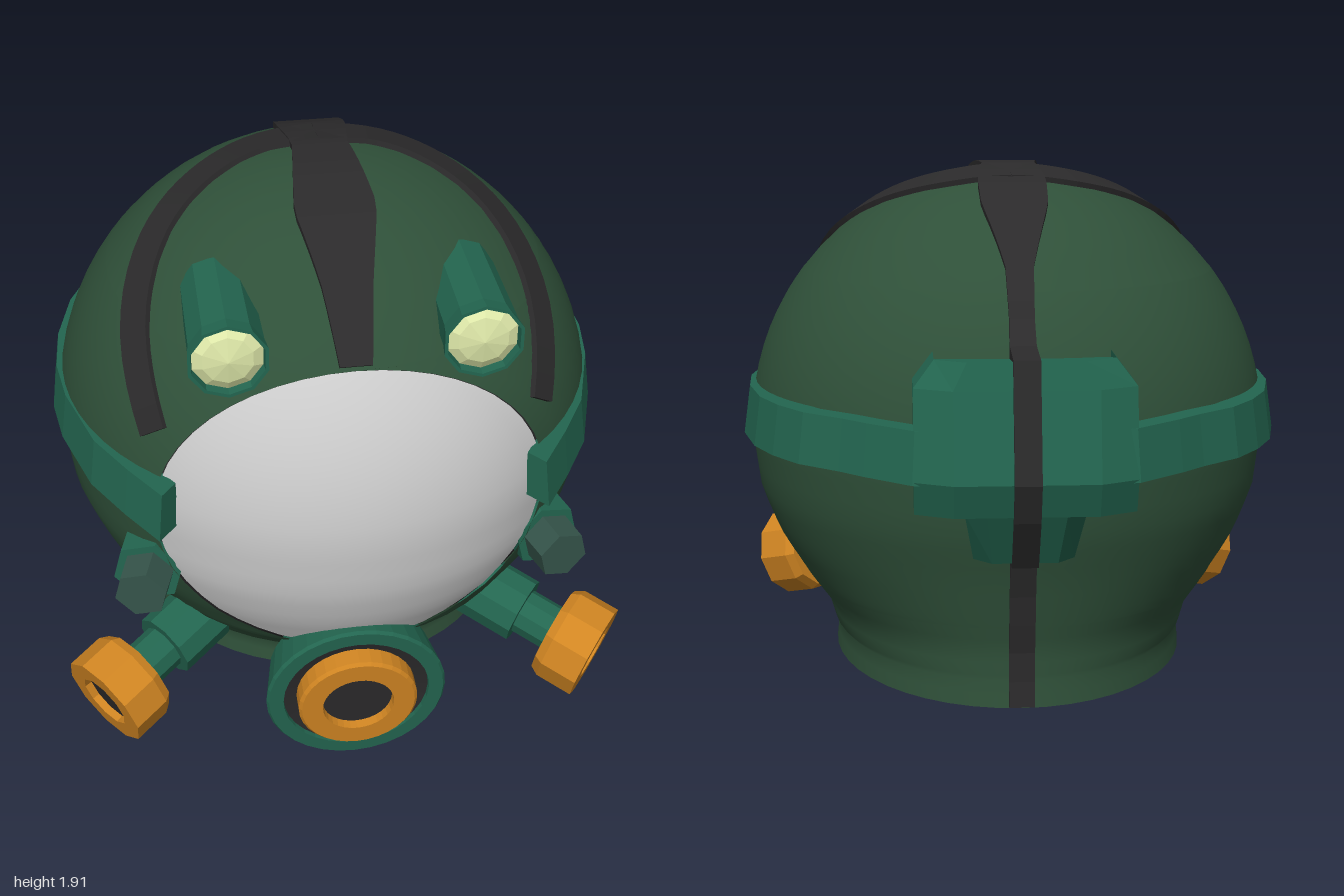
import * as THREE from 'three';
import { mergeVertices } from 'three/addons/utils/BufferGeometryUtils.js';

const mat = (color, flatShading = true) =>
  new THREE.MeshStandardMaterial({ color, flatShading, side: THREE.DoubleSide });
const GREEN = mat(0x236650), DARK = mat(0x2b2a2b), ORANGE = mat(0xd08522), LENS = mat(0xe2ecac);
const BOLT = mat(0x35544a), SHELL = mat(0x2f5039, false), LINING = mat(0x2b2a2b, false), GLASS = mat(0xcccccc, false);
const R = 0.91, CZ = 0.1; // dome radius and z of its centre (centre height is 1)

// Piecewise linear lookup: rows [key, value, ...] sorted by rising key
function lookup(rows, x, col = 1) {
  let i = 1;
  while (i < rows.length - 1 && x > rows[i][0]) i++;
  const a = rows[i - 1], b = rows[i];
  return THREE.MathUtils.lerp(a[col], b[col], THREE.MathUtils.clamp((x - a[0]) / (b[0] - a[0]), 0, 1));
}

// Surface through rows of points
function loft(rows) {
  const n = rows[0].length, index = [];
  for (let i = 0; i < rows.length - 1; i++)
    for (let j = 0; j < n - 1; j++) {
      const a = i * n + j, b = a + n;
      index.push(a, a + 1, b, a + 1, b + 1, b);
    }
  let g = new THREE.BufferGeometry();
  g.setAttribute('position', new THREE.Float32BufferAttribute(rows.flat(2), 3));
  g.setIndex(index);
  g = mergeVertices(g, 1e-4);
  g.computeVertexNormals();
  return g;
}

// Helmet cross-section: [y, half width, front depth, back depth] below the dome's equator
const LOWER = [[0.21, 0.62, 0.56, 0.81], [0.3, 0.61, 0.55, 0.8], [0.315, 0.625, 0.575, 0.8], [0.4, 0.65, 0.66, 0.8],
  [0.5, 0.725, 0.76, 0.82], [0.65, 0.82, 0.84, 0.85], [0.8, 0.88, 0.89, 0.89], [1, 0.905, R, R]];
function shellPoint(y, theta, k = 1) {
  const r = Math.sqrt(Math.max(0, R * R - (y - 1) ** 2));
  const back = Math.cos(theta) < 0;
  const a = y < 1 ? lookup(LOWER, y) : r * 0.995;
  const d = y < 1 ? lookup(LOWER, y, back ? 3 : 2) : r;
  return [a * k * Math.sin(theta), y > 1 ? 1 + (y - 1) * k : y, CZ + d * k * Math.cos(theta)];
}
// Angle of the visor edge at a height (elliptical opening)
function visorAngle(y) {
  const x = 0.63 * Math.sqrt(Math.max(0, 1 - ((y - 1.02) / 0.54) ** 2));
  return x < 1e-4 ? 0 : Math.asin(x / shellPoint(y, Math.PI / 2)[0]);
}
const steps = (n, f) => Array.from({ length: n + 1 }, (_, i) => f(i / n));
const visorYs = steps(24, t => 1.02 - 0.54 * Math.cos(t * Math.PI));
const topYs = steps(9, t => 1 + R * Math.sin(THREE.MathUtils.lerp(Math.asin(0.56 / R), Math.PI / 2, t)));
const shellYs = [0.21, 0.255, 0.3, 0.315, 0.36, 0.4, 0.44, ...visorYs, ...topYs.slice(1)];
const shellRow = (y, k) => {
  const v = visorAngle(y);
  return steps(48, t => shellPoint(y, THREE.MathUtils.lerp(v, 2 * Math.PI - v, t), k));
};

// Flat strap with rectangular section along points, facing away from the helmet centre
function strap(pts, half, out = 0.014, inn = 0.03) {
  const c = new THREE.Vector3(0, 1, CZ);
  const rows = pts.map((p, i) => {
    const t = pts[Math.min(i + 1, pts.length - 1)].clone().sub(pts[Math.max(i - 1, 0)]).normalize();
    const n = p.clone().sub(c);
    n.addScaledVector(t, -n.dot(t)).normalize();
    const s = t.clone().cross(n).multiplyScalar(half[i]);
    const corner = (a, h) => p.clone().addScaledVector(s, a).addScaledVector(n, h).toArray();
    return [corner(-1, out), corner(1, out), corner(1, -inn), corner(-1, -inn), corner(-1, out)];
  });
  const cap = r => { const m = r[0].map((v, i) => (v + r[2][i]) / 2); return r.map(() => m); };
  return loft([cap(rows[0]), ...rows, cap(rows.at(-1))]);
}

export function createModel() {
  const root = new THREE.Group();
  const add = (name, geo, material, parent = root) => {
    const m = new THREE.Mesh(geo, material);
    m.name = name;
    parent.add(m);
    return m;
  };
  // Turned part: profile [radius, height] along dir
  const turned = (name, profile, segs, material, parent, phi = 0) =>
    add(name, new THREE.LatheGeometry(profile.map(p => new THREE.Vector2(...p)), segs, phi), material, parent);
  const mount = (name, pos, dir) => {
    const g = new THREE.Group();
    g.name = name;
    g.position.set(...pos);
    g.quaternion.setFromUnitVectors(new THREE.Vector3(0, 1, 0), new THREE.Vector3(...dir).normalize());
    root.add(g);
    return g;
  };

  // Helmet shell, lining and visor
  add('shell', loft(shellYs.map(y => shellRow(y, 1))), SHELL);
  add('lining', loft(shellYs.map(y => shellRow(y, 0.97))), LINING);
  add('neckRim', loft([shellRow(0.21, 0.97), shellRow(0.21, 1)]), SHELL);
  add('visor', loft(visorYs.map(y => {
    const v = visorAngle(y);
    return steps(24, t => shellPoint(y, THREE.MathUtils.lerp(-v, v, t), 0.99));
  })), GLASS);

  // Central strap: over the dome, across the rear housing, down to the neck
  const widths = [[-1.02, 0.04], [-0.81, 0.045], [-0.49, 0.11], [-0.3, 0.115], [-0.077, 0.09],
    [0.312, 0.13], [0.61, 0.08], [0.894, 0.05]];
  const pts = [], half = [];
  for (let i = 0; i <= 28; i++) {
    const f = THREE.MathUtils.lerp(0.894, -1.02, i / 28);
    pts.push(new THREE.Vector3(0, 1 + R * Math.cos(f), CZ + R * Math.sin(f)));
    half.push(lookup(widths, f));
  }
  for (const [y, z] of [[1.395, -0.74], [1.385, -0.905], [1.02, -0.983], [0.9, -0.94], [0.735, -0.845], [0.725, -0.77],
    [0.6, -0.735], [0.5, -0.72], [0.4, -0.7], [0.3, -0.7], [0.215, -0.71]]) {
    pts.push(new THREE.Vector3(0, y, z));
    half.push(0.042);
  }
  add('centreStrap', strap(pts, half), DARK);

  // Side straps curving forward over the dome
  for (const s of [-1, 1]) {
    const path = [[0, -0.07], [0.2, -0.06], [0.37, 0.02], [0.53, 0.17], [0.635, 0.42], [0.61, 0.7]];
    const curve = new THREE.CatmullRomCurve3(path.map(([x, z]) =>
      new THREE.Vector3(s * x, Math.sqrt(R * R - x * x - (z - CZ) ** 2), z - CZ)));
    const p = curve.getPoints(24).map(v => v.setLength(R).add(new THREE.Vector3(0, 1, CZ)));
    add('sideStrap', strap(p, p.map((_, i) => 0.085 - 0.035 * i / 24)), DARK);
  }

  // Band around the sides and back, flaring toward its lower edge
  const bandHalf = [[0.62, 0.87], [0.72, 0.72], [0.82, 0.55], [0.905, 0.28], [0.93, 0.1], [0.92, -0.1], [0.87, -0.32],
    [0.8, -0.47], [0.71, -0.6], [0.58, -0.71], [0.5, -0.79], [0.35, -0.92], [0.18, -0.96], [0, -0.975]];
  const band = [...bandHalf, ...bandHalf.slice(0, -1).reverse().map(([x, z]) => [-x, z])];
  const bandRows = band.map(([x, z]) => {
    const at = (k, y) => [x * k, y, CZ + (z - CZ) * k];
    return [at(1, 1.01), at(0.975, 1.175), at(0.9, 1.175), at(0.9, 1.01), at(1, 1.01)];
  });
  const endCap = r => r.map(() => r[0].map((v, i) => (v + r[2][i]) / 2));
  add('band', loft([endCap(bandRows[0]), ...bandRows, endCap(bandRows.at(-1))]), GREEN);

  // Rear housing, stepped to a narrower foot: [y, half width, back z]
  add('rearHousing', loft([[1.36, 0.28, -0.68], [1.385, 0.28, -0.9], [1.3, 0.345, -0.92], [1.02, 0.345, -0.98],
    [0.91, 0.345, -0.94], [0.91, 0.19, -0.94], [0.74, 0.16, -0.85], [0.74, 0.16, -0.68]].map(([y, w, z]) => {
    const side = Math.min(z + 0.06, -0.68);
    return [[-w, y, -0.68], [-w, y, side], [-w * 0.65, y, z], [w * 0.65, y, z], [w, y, side], [w, y, -0.68]];
  })), GREEN);

  for (const s of [-1, 1]) {
    // Headlamps
    const lamp = mount('headlamp', [s * 0.385, 1.64, 0.42], [0, 0, 1]);
    turned('lampBody', [[0, 0], [0.115, 0], [0.12, 0.36], [0.127, 0.415], [0.116, 0.415], [0.112, 0.38]], 10, GREEN, lamp);
    turned('lampLens', [[0.114, 0.385], [0.08, 0.405], [0, 0.42]], 10, LENS, lamp);

    // Hexagonal bolts
    const bolt = mount('bolt', [s * 0.61, 0.78, 0.56], [s * 0.28, 0, 1]);
    turned('boltCollar', [[0, 0], [0.118, 0], [0.118, 0.19], [0, 0.19]], 6, GREEN, bolt, Math.PI / 6);
    turned('boltHead', [[0.09, 0.18], [0.088, 0.3], [0, 0.3]], 6, BOLT, bolt, Math.PI / 6);

    // Side valves with orange caps
    const valve = mount('sideValve', [s * 0.775, 0.34, 0.795], [s * 0.77, -0.25, 0.59]);
    turned('valveTube', [[0, -0.4], [0.115, -0.4], [0.115, -0.2], [0.08, -0.2], [0.08, -0.07]], 10, GREEN, valve);
    turned('valveCap', [[0.07, -0.08], [0.15, -0.08], [0.168, -0.05], [0.168, 0.08], [0.098, 0.08], [0.094, 0.05]],
      10, ORANGE, valve);
    turned('valveHole', [[0.096, 0.055], [0, 0.055]], 10, DARK, valve);
  }

  // Front breathing filter
  const filter = mount('frontFilter', [0, 0.31, 0.917], [0, -0.09, 1]);
  turned('filterBody', [[0, -0.27], [0.17, -0.27], [0.275, -0.15], [0.303, -0.01], [0.295, 0], [0.246, 0], [0.243, -0.03]],
    32, GREEN, filter);
  turned('filterDish', [[0.245, -0.015], [0.19, -0.025]], 32, DARK, filter);
  turned('filterRing', [[0.2, -0.03], [0.2, 0.035], [0.19, 0.045], [0.12, 0.045], [0.117, 0.01]], 32, ORANGE, filter);
  turned('filterCore', [[0.12, 0.015], [0, 0.015]], 32, DARK, filter);
  return root;
}
